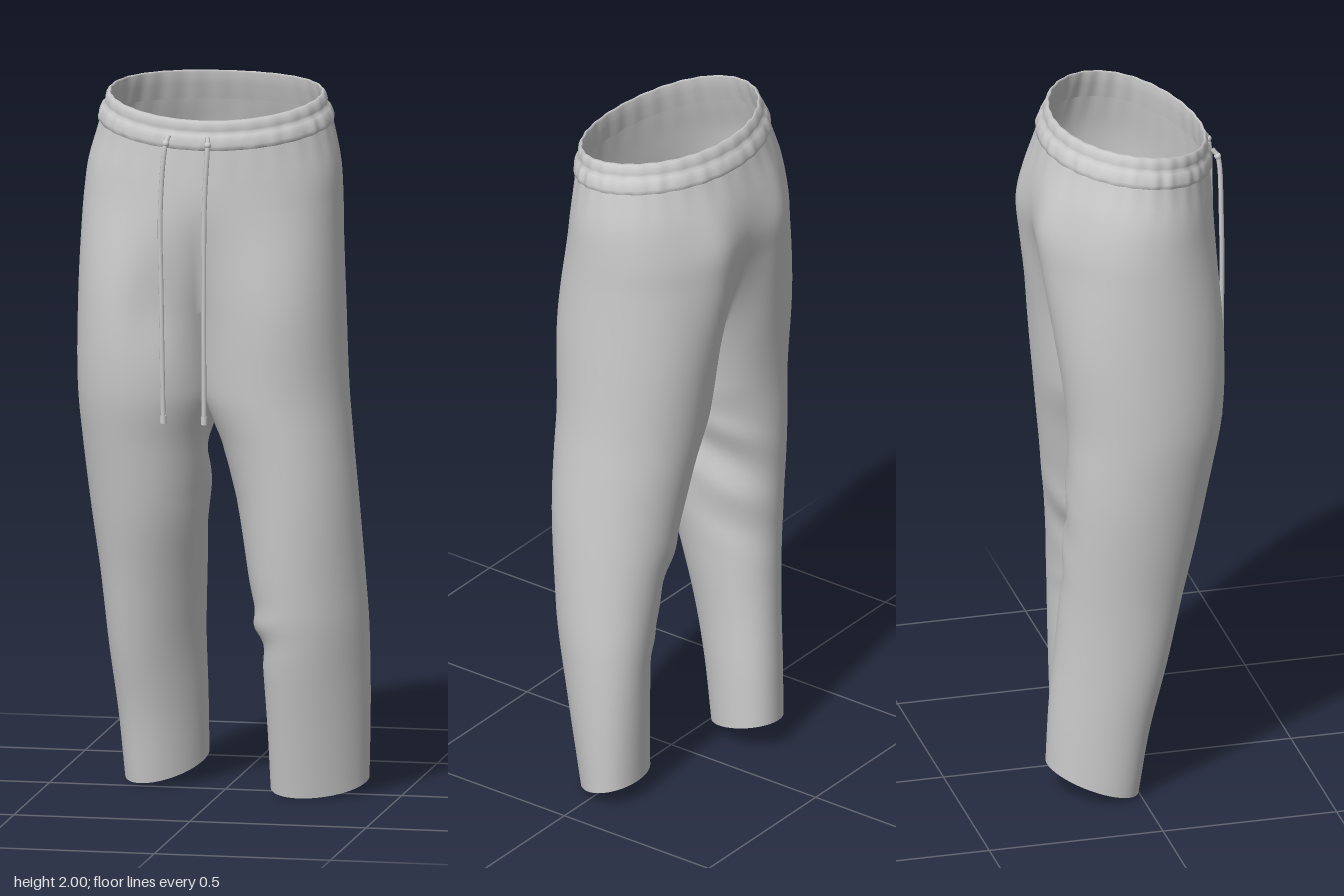
import * as THREE from 'three';
import { mergeGeometries, mergeVertices } from 'three/addons/utils/BufferGeometryUtils.js';

const { clamp, lerp, smoothstep, degToRad } = THREE.MathUtils;
const CROTCH = 1.14;
const cloth = new THREE.MeshStandardMaterial({ color: 0xcccccc, side: THREE.DoubleSide });

// Height, left x, right x, centre seam x, front z, back z
const hips = [
  [1.4, 0.34, -0.41, -0.035, 0.25, -0.225],
  [1.6, 0.332, -0.403, -0.03, 0.252, -0.25],
  [1.7, 0.33, -0.397, -0.027, 0.252, -0.261],
  [1.8, 0.325, -0.384, -0.025, 0.25, -0.251],
  [1.9, 0.307, -0.355, -0.022, 0.246, -0.226],
  [2.0, 0.284, -0.328, -0.02, 0.24, -0.197],
];
// Height, outer x, inner x, front z, back z
const legs = {
  left: [
    [0, 0.4, 0.135, 0.1, -0.11], [0.2, 0.405, 0.13, 0.14, -0.115],
    [0.4, 0.406, 0.12, 0.18, -0.12], [0.5, 0.405, 0.108, 0.195, -0.125],
    [0.6, 0.4, 0.085, 0.205, -0.132], [0.8, 0.385, 0.05, 0.22, -0.155],
    [1.0, 0.365, 0.01, 0.23, -0.18], [CROTCH, 0.352, -0.035, 0.237, -0.198],
    ...hips.map(([y, l, , c, f, b]) => [y, l, c, f, b]),
  ],
  right: [
    [0, -0.3, -0.08, 0, -0.245], [0.2, -0.315, -0.08, 0.03, -0.238],
    [0.4, -0.335, -0.08, 0.075, -0.225], [0.6, -0.355, -0.068, 0.12, -0.212],
    [0.8, -0.38, -0.052, 0.17, -0.203], [1.0, -0.4, -0.052, 0.21, -0.198],
    [CROTCH, -0.41, -0.035, 0.237, -0.198],
    ...hips.map(([y, , r, c, f, b]) => [y, r, c, f, b]),
  ],
};
const sections = {};
for (const side in legs) {
  sections[side] = new THREE.CubicInterpolant(
    new Float32Array(legs[side].map((k) => k[0])),
    new Float32Array(legs[side].flatMap((k) => k.slice(1))), 4);
}

// Cloth folds: height, place around the leg, slope, depth, half height, half length
const folds = {
  left: [
    [0.48, 1.13, 0.1, 0.018, 0.035, 0.16], [0.42, 1.12, 0.1, -0.012, 0.04, 0.15],
    [0.6, 0.98, -0.5, -0.012, 0.05, 0.13], [0.7, 0.97, -0.5, 0.008, 0.05, 0.13],
  ],
  right: [
    [1.02, 0.97, 0.6, 0.01, 0.04, 0.14], [0.92, 0.97, 0.6, -0.012, 0.045, 0.14],
    [0.82, 0.97, 0.5, 0.008, 0.04, 0.14], [0.7, 0.95, 0.4, -0.007, 0.05, 0.15],
    [1.4, 0.12, -0.3, -0.04, 0.14, 0.07],
  ],
};

// Point on the cloth: p 0..1 runs front seam, outside, back seam; 1..1.2 is the inner thigh
function skin(side, y, p) {
  const [xo, xi, zf, zb] = sections[side].evaluate(y);
  const cz = (zf + zb) / 2, rz = (zf - zb) / 2, cx = (xo + xi) / 2, rx = (xo - xi) / 2;
  const phi = degToRad(150 - 300 * p);
  const k = 0.866 + 0.134 * clamp((CROTCH - y) / 0.3, 0, 1);
  let c = Math.cos(phi);
  if (c < 0) c = Math.max(c, -k) / k;

  // hip section with rounded seat, blending into the leg section
  const w = 1 - smoothstep(y, CROTCH, 1.8);
  const h = Math.cos(Math.PI * p);
  const power = h < 0 ? 1 : lerp(side === 'left' ? 0.85 : 0.92, 1, smoothstep(y, 1.72, 1.95));
  const seat = 1 + 0.09 * Math.exp(-(((p - 0.87) / 0.07) ** 2)) * (1 - smoothstep(y, 1.7, 1.93));
  const hipZ = rz * Math.sign(h) * Math.abs(h) ** power * seat;
  let x = lerp(xi + 2 * rx * Math.sin(Math.PI * p), cx + rx * c, w);
  let z = cz + lerp(hipZ, rz * Math.sin(phi), w) * (1 + 0.2 * w * (1 - w));

  // lower legs are skewed, the front turned to the right
  const skew = 1 - smoothstep(y, 0.3, 0.95);
  x -= skew * (0.3 * Math.abs(rx) * (z - cz) / rz + 0.046 * (x - cx));

  // folds and the gathers under the waistband
  let d = 0;
  for (const [fy, fp, slope, amp, wy, wp] of folds[side]) {
    const dp = p - fp - 1.2 * Math.round((p - fp) / 1.2);
    d += amp * Math.exp(-(((y - fy - slope * dp) / wy) ** 2) - (dp / wp) ** 2);
  }
  const seam = p <= 1 ? Math.sin(Math.PI * p) : 0;
  d *= lerp(1, seam, smoothstep(y, CROTCH - 0.15, CROTCH));
  d += 0.0015 * Math.cos(p * Math.PI * 28) * smoothstep(y, 1.78, 1.92);
  const dx = x - cx, dz = z - cz, len = Math.hypot(dx, dz) || 1;
  if (y < CROTCH + 0.4 || seam > 0.01) x += d * dx / len;
  z += d * dz / len;

  // slanted hem and dipped front waist
  const back = clamp((zf - z) / (zf - zb), 0, 1), inner = clamp((xo - x) / (xo - xi), 0, 1);
  const lift = side === 'left' ? 0.06 * back : 0.068 * back + 0.025 * inner;
  const dip = 0.065 * ((1 + Math.cos(Math.PI * Math.min(p, 1))) / 2) ** 2 * smoothstep(y, 1.5, 1.93);
  return [x, y + lift * clamp(1 - y / 0.5, 0, 1) - dip, z];
}

function grid(nu, nv, point, flip = false) {
  const pos = [], idx = [];
  for (let j = 0; j <= nv; j++) for (let i = 0; i <= nu; i++) pos.push(...point(i / nu, j / nv));
  for (let j = 0; j < nv; j++) for (let i = 0; i < nu; i++) {
    const a = j * (nu + 1) + i, b = a + 1, e = a + nu + 1, f = e + 1;
    if (flip) idx.push(a, e, b, b, e, f);
    else idx.push(a, b, e, b, f, e);
  }
  const g = new THREE.BufferGeometry();
  g.setAttribute('position', new THREE.Float32BufferAttribute(pos, 3));
  g.setIndex(idx);
  return g;
}

function smooth(parts) {
  const g = mergeVertices(mergeGeometries(parts), 1e-4);
  g.computeVertexNormals();
  return g;
}

function add(parent, name, geometry) {
  const mesh = new THREE.Mesh(geometry, cloth);
  mesh.name = name;
  parent.add(mesh);
  return mesh;
}

// Waist loop point with an outward offset
function waist(u, y, off) {
  const front = u < 0.5;
  const [x, py, z] = skin(front ? 'left' : 'right', y, front ? 2 * u : 2 - 2 * u);
  const dx = x + 0.022, dz = z - 0.015, len = Math.hypot(dx, dz);
  return [x + off * dx / len, py, z + off * dz / len];
}

export function createModel() {
  const model = new THREE.Group();
  model.name = 'trousers';

  // legs and seat: closed tubes below the crotch, two open halves above
  const parts = [];
  for (const side of ['left', 'right']) {
    const flip = side === 'right';
    parts.push(grid(72, 60, (u, v) => skin(side, v * CROTCH, u * 1.2), flip));
    parts.push(grid(60, 44, (u, v) => skin(side, lerp(CROTCH, 1.93, v), u), flip));
  }
  add(model, 'legsAndSeat', smooth(parts));

  // gathered waistband: puckered roll, groove, thin rim, inside facing
  const profile = [
    [-0.002, 1.915, 0], [0.004, 1.918, 0.4], [0.007, 1.93, 1], [0.006, 1.945, 1], [0.003, 1.958, 0.5],
    [-0.004, 1.964, 0], [0, 1.972, 0], [0, 1.987, 0], [-0.003, 1.997, 0],
    [-0.007, 2, 0], [-0.012, 1.995, 0], [-0.014, 1.96, 0], [-0.012, 1.915, 0],
  ];
  const last = profile.length - 1;
  add(model, 'waistband', smooth([grid(240, last, (u, v) => {
    const [off, y, pucker] = profile[Math.round(v * last)];
    const a = u * Math.PI * 2;
    const ripple = 0.6 * Math.sin(a * 40) + 0.4 * Math.sin(a * 23 + 1);
    return waist(u, y, off + 0.002 * pucker * ripple);
  })]));

  // drawstrings with knots and tips
  const cords = {
    rightDrawstring: [[-0.112, 1.89, 0.244], [-0.118, 1.87, 0.258], [-0.131, 1.7, 0.265],
      [-0.128, 1.4, 0.267], [-0.124, 1.09, 0.262]],
    leftDrawstring: [[0, 1.89, 0.25], [0.002, 1.87, 0.262], [-0.006, 1.7, 0.267],
      [-0.008, 1.4, 0.267], [-0.008, 1.09, 0.262]],
  };
  for (const [name, pts] of Object.entries(cords)) {
    const cord = new THREE.Group();
    cord.name = name;
    const path = new THREE.CatmullRomCurve3(pts.map((p) => new THREE.Vector3(...p)));
    add(cord, 'cord', new THREE.TubeGeometry(path, 48, 0.007, 8));
    add(cord, 'knot', new THREE.SphereGeometry(0.01, 12, 8)).position.set(...pts[1]);
    add(cord, 'tip', new THREE.CylinderGeometry(0.009, 0.009, 0.022, 12)).position.set(...pts[4]);
    model.add(cord);
  }
  return model;
}
